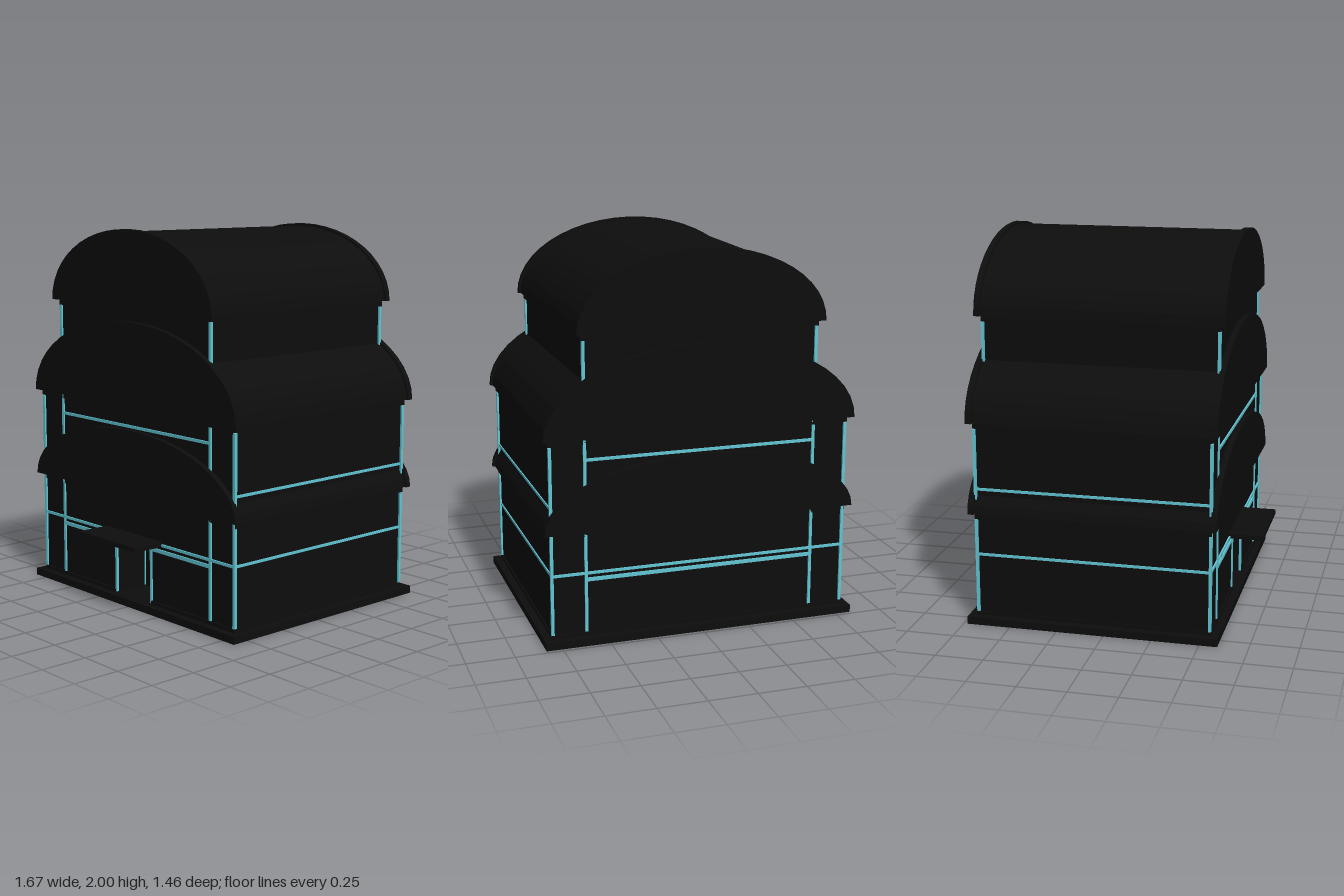
import * as THREE from 'three';

export function createModel() {
  const model = new THREE.Group();
  const black = new THREE.MeshStandardMaterial({ color: 0x0d0d0d });
  black.name = 'black cladding';
  const cyan = new THREE.MeshStandardMaterial({ color: 0x62c6d4 });
  cyan.name = 'cyan trim';

  const FRONT = 0.545, BACK = -0.678, MID = (FRONT + BACK) / 2;

  // Box given by its extents on each axis
  function box(name, mat, x0, x1, y0, y1, z0, z1) {
    const mesh = new THREE.Mesh(new THREE.BoxGeometry(x1 - x0, y1 - y0, z1 - z0), mat);
    mesh.position.set((x0 + x1) / 2, (y0 + y1) / 2, (z0 + z1) / 2);
    mesh.name = name;
    model.add(mesh);
  }

  // Solid half-ellipse prism between two z planes
  function vault(name, rx, ry, y, z0, z1) {
    const shape = new THREE.Shape();
    const n = 24;
    for (let i = 0; i <= n; i++) {
      const a = (i / n) * Math.PI;
      const px = rx * Math.cos(a), py = ry * Math.sin(a);
      if (i === 0) shape.moveTo(px, py);
      else shape.lineTo(px, py);
    }
    shape.closePath();
    const geo = new THREE.ExtrudeGeometry(shape, { depth: z1 - z0, bevelEnabled: false });
    const mesh = new THREE.Mesh(geo, black);
    mesh.position.set(0, y, z0);
    mesh.name = name;
    model.add(mesh);
  }

  // Ground slab and plinth
  box('baseSlab', black, -0.835, 0.835, 0, 0.04, -0.73, 0.593);
  for (const s of [-1, 1]) {
    const x0 = s < 0 ? -0.795 : 0.15;
    box('frontPlinth', black, x0, x0 + 0.645, 0.04, 0.06, 0.3, 0.555);
  }
  box('plinth', black, -0.795, 0.795, 0.04, 0.06, -0.688, 0.35);

  // Ground floor walls, leaving a recessed entrance
  box('groundFloorWall', black, -0.787, 0.787, 0.04, 0.6, BACK, 0.35);
  box('wallAboveEntrance', black, -0.145, 0.145, 0.34, 0.6, 0.35, FRONT);
  box('entranceSideWall', black, -0.787, -0.145, 0.04, 0.6, 0.35, FRONT);
  box('entranceSideWall', black, 0.145, 0.787, 0.04, 0.6, 0.35, FRONT);

  // Upper floor walls
  box('middleFloorWall', black, -0.787, 0.787, 0.6, 1.08, BACK, FRONT);
  box('topFloorWall', black, -0.612, 0.612, 1.08, 1.6, BACK, FRONT);

  // Vaulted roof of each tier, with raised gable ends and a cornice below
  const tiers = [
    { rx: 0.83, ry: 0.355, y: 0.6, wall: 0.787 },
    { rx: 0.83, ry: 0.445, y: 1.08, wall: 0.787 },
    { rx: 0.655, ry: 0.4, y: 1.6, wall: 0.612 },
  ];
  for (const t of tiers) {
    vault('vaultedRoof', t.rx - 0.012, t.ry - 0.013, t.y, BACK - 0.01, FRONT + 0.01);
    vault('frontGable', t.rx, t.ry, t.y, FRONT + 0.005, 0.58);
    vault('backGable', t.rx, t.ry, t.y, -0.715, BACK - 0.005);
    const c = t.wall + 0.015;
    box('cornice', black, -c, c, t.y - 0.03, t.y, BACK - 0.008, FRONT + 0.008);
  }

  // Corner posts
  const posts = [[0.79, 0.06, 0.59], [0.79, 0.66, 1.045], [0.614, 1.3, 1.57]];
  for (const s of [-1, 1]) {
    for (const [x, y0, y1] of posts) {
      for (const z of [FRONT + 0.002, BACK - 0.002]) {
        box('cornerPost', cyan, s * x - 0.008, s * x + 0.008, y0, y1, z - 0.008, z + 0.008);
      }
    }
    // Side wall bands
    for (const y of [0.375, 0.727]) {
      box('sideBand', cyan, s * 0.789 - 0.004, s * 0.789 + 0.004, y - 0.007, y + 0.007, BACK, FRONT);
    }
  }

  // Strips repeated on the front and back faces
  for (const z of [FRONT + 0.002, BACK - 0.002]) {
    const z0 = z - 0.006, z1 = z + 0.006;
    for (const x of [-0.612, 0.612]) {
      box('facadeStrip', cyan, x - 0.008, x + 0.008, 0.06, 0.594, z0, z1);
      box('facadeStrip', cyan, x - 0.008, x + 0.008, 0.75, 1.075, z0, z1);
    }
    box('lowerBand', cyan, -0.787, 0.787, 0.368, 0.382, z0, z1);
    box('lintelBand', cyan, -0.612, 0.612, 0.331, 0.35, z0, z1);
    box('upperBand', cyan, -0.612, 0.612, 0.961, 0.976, z0, z1);
  }

  // Entrance frame strips at the opening and at the back of the recess
  for (const x of [-0.147, 0.147]) {
    box('entranceStrip', cyan, x - 0.007, x + 0.007, 0.045, 0.34, FRONT - 0.005, FRONT + 0.008);
    box('recessStrip', cyan, x - 0.007, x + 0.007, 0.045, 0.34, 0.345, 0.358);
  }

  // Canopy over the entrance
  box('entranceCanopy', black, -0.235, 0.235, 0.368, 0.393, MID, 0.73);

  return model;
}
